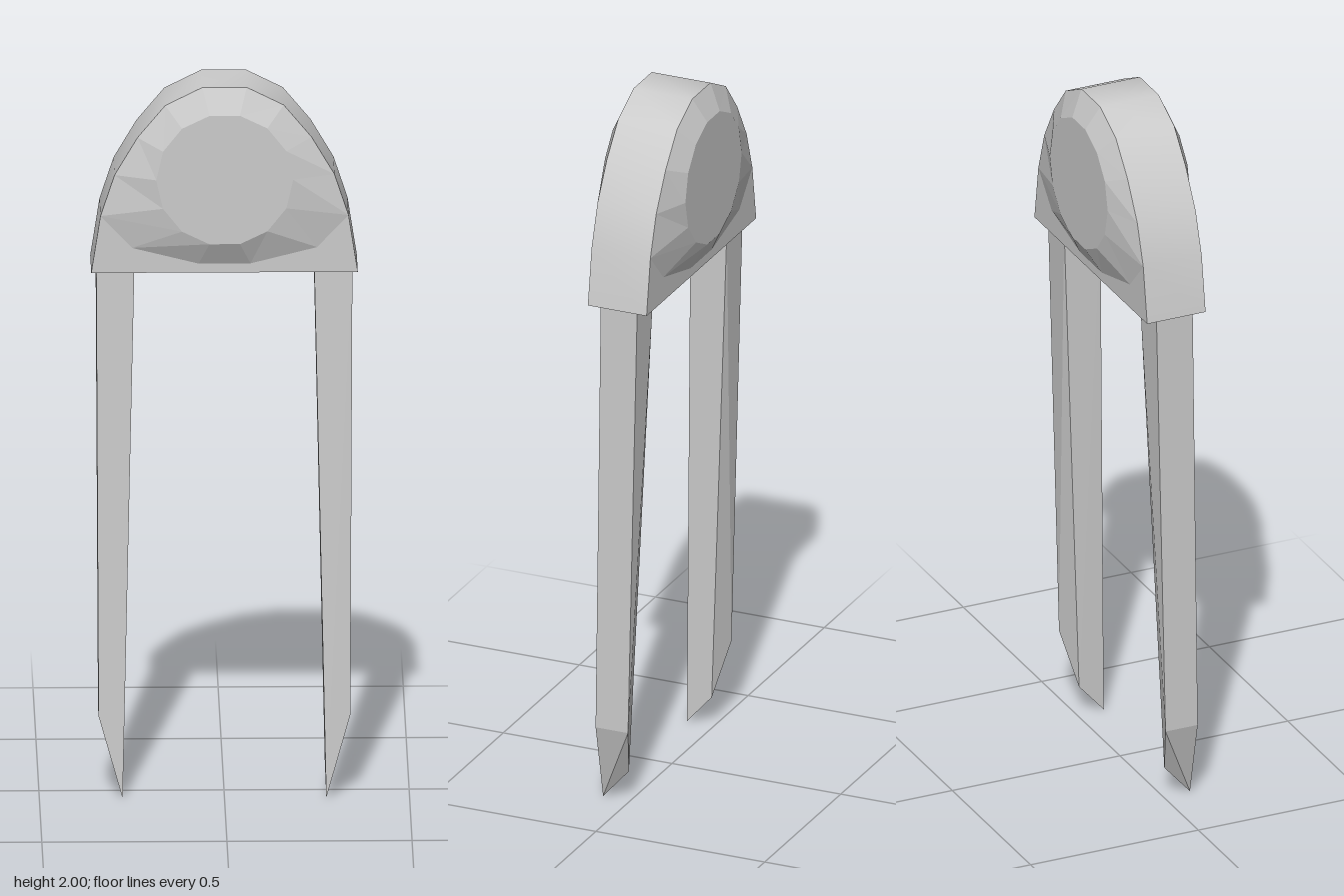
import * as THREE from 'three';
import { toCreasedNormals } from 'three/addons/utils/BufferGeometryUtils.js';

const smooth = new THREE.MeshStandardMaterial({ color: 0xcccccc });
const flat = new THREE.MeshStandardMaterial({ color: 0xcccccc, flatShading: true });

// Mirror a right-hand half profile (bottom to top) into a closed counterclockwise ring
const mirror = half => [...half, ...half.map(([x, y]) => [-x, y]).reverse()];
const atZ = (ring, z) => ring.map(([x, y]) => [x, y, z]);

// Walls between two rings of equal length, with optional quad end caps
function loft(a, b, capped = false) {
  const p = [];
  const tri = (...pts) => pts.forEach(v => p.push(...v));
  a.forEach((_, i) => {
    const j = (i + 1) % a.length;
    tri(a[i], a[j], b[j]);
    tri(a[i], b[j], b[i]);
  });
  if (capped) {
    tri(a[0], a[2], a[1]);
    tri(a[0], a[3], a[2]);
    tri(b[0], b[1], b[2]);
    tri(b[0], b[2], b[3]);
  }
  const g = new THREE.BufferGeometry();
  g.setAttribute('position', new THREE.Float32BufferAttribute(p, 3));
  g.computeVertexNormals();
  return g;
}

const flatFace = (ring, z) =>
  new THREE.ShapeGeometry(new THREE.Shape(ring.map(([x, y]) => new THREE.Vector2(x, y)))).translate(0, 0, z);

function add(parent, name, geometry, material) {
  const mesh = new THREE.Mesh(geometry, material);
  mesh.name = name;
  parent.add(mesh);
}

export function createModel() {
  const model = new THREE.Group();
  model.name = 'twoProngedPin';

  const rimZ = 0.087, discZ = 0.123;
  const half = [[0.07, 1.505], [0.25, 1.55], [0.335, 1.64], [0.297, 1.755], [0.235, 1.86], [0.16, 1.95], [0.06, 2]];
  const foot = [0.36, 1.48];
  const outline = mirror([foot, ...half.slice(2)]);
  const bevelRing = mirror(half);
  const discRing = bevelRing.map((_, i) => {
    const t = -Math.PI / 2 + (i + 0.5) * 2 * Math.PI / bevelRing.length;
    return [0.185 * Math.cos(t), 1.75 + 0.185 * Math.sin(t)];
  });

  // Domed head: curved rim and flat underside
  const head = new THREE.Group();
  head.name = 'head';
  model.add(head);
  add(head, 'headRim', toCreasedNormals(loft(atZ(outline, -rimZ), atZ(outline, rimZ)), 0.6), smooth);

  // Raised faceted face, repeated on the back
  const lowerTrim = mirror([foot, half[2], half[1], half[0]]);
  for (const side of ['front', 'back']) {
    const face = new THREE.Group();
    face.name = side + 'Face';
    face.rotation.y = side === 'back' ? Math.PI : 0;
    add(face, 'bevel', loft(atZ(bevelRing, rimZ), atZ(discRing, discZ)), flat);
    add(face, 'disc', flatFace(discRing, discZ), flat);
    add(face, 'lowerTrim', flatFace(lowerTrim, rimZ), flat);
    head.add(face);
  }

  // Prongs with slanted tips; corners run front inner, front outer, back outer, back inner
  const tip = [[0.275, 0, 0.08], [0.34, 0.23, 0.073], [0.34, 0.23, -0.023], [0.272, 0.085, 0.005]];
  const top = [[0.243, 1.485, 0.055], [0.346, 1.485, 0.055], [0.346, 1.485, -0.053], [0.243, 1.485, -0.053]];
  const flip = ring => ring.map(([x, y, z]) => [-x, y, z]);
  add(model, 'leftProng', loft(tip, top, true), flat);
  // Swapping the ends keeps the mirrored faces pointing outward
  const right = loft(flip(tip), flip(top), true);
  const pos = right.attributes.position, a = new THREE.Vector3(), b = new THREE.Vector3();
  for (let i = 0; i < pos.count; i += 3) {
    a.fromBufferAttribute(pos, i + 1);
    b.fromBufferAttribute(pos, i + 2);
    pos.setXYZ(i + 1, b.x, b.y, b.z);
    pos.setXYZ(i + 2, a.x, a.y, a.z);
  }
  right.computeVertexNormals();
  add(model, 'rightProng', right, flat);

  return model;
}
